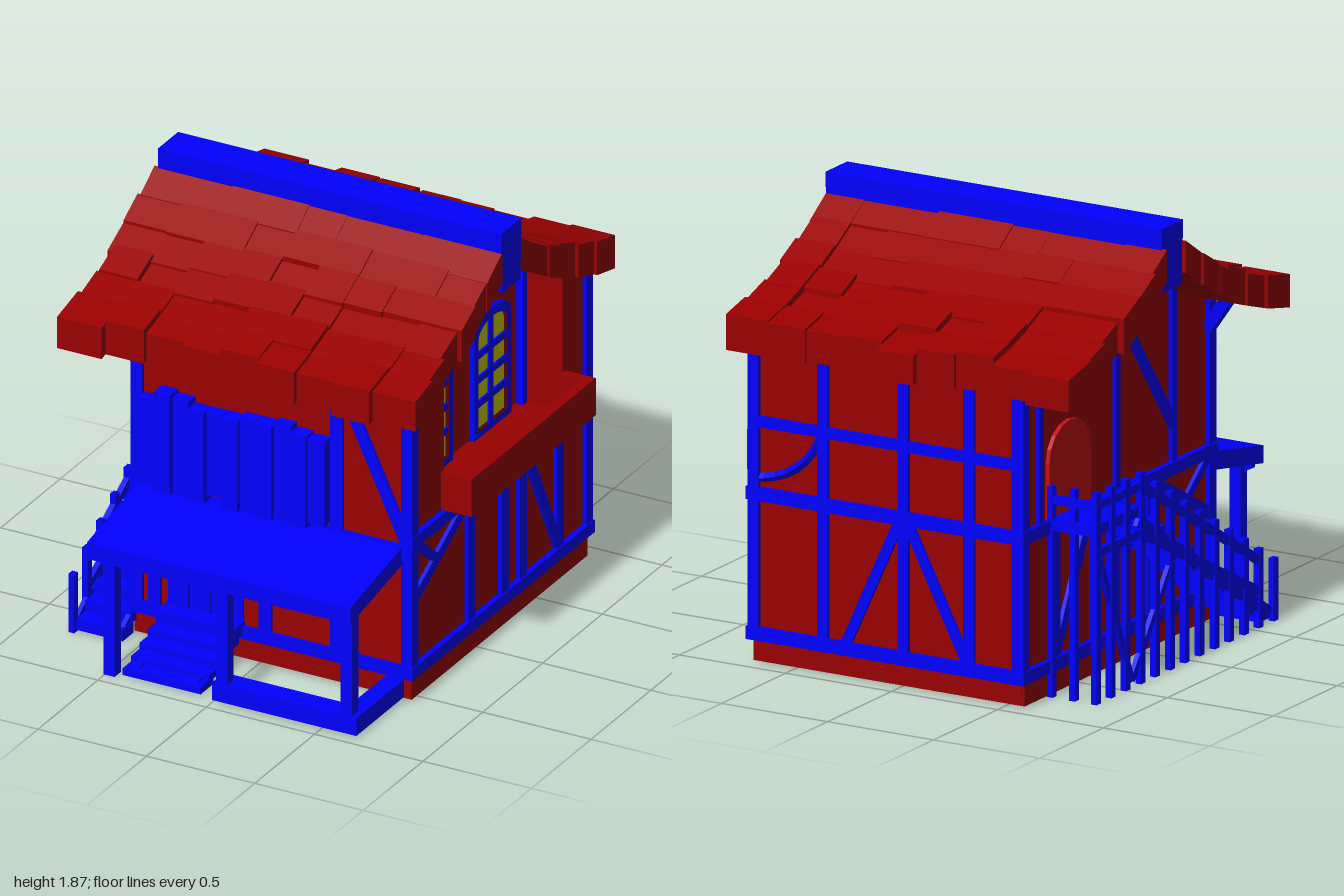
import * as THREE from 'three';

const RED = new THREE.MeshStandardMaterial({ color: 0x990000, flatShading: true });
const BLUE = new THREE.MeshStandardMaterial({ color: 0x0000ff, flatShading: true });
const YELLOW = new THREE.MeshStandardMaterial({ color: 0xcccc00, flatShading: true });
const DOOR_RED = new THREE.MeshStandardMaterial({ color: 0xc01010, flatShading: true });

export function createModel() {
  const house = new THREE.Group();
  house.name = 'house';
  let seed = 11;
  const rand = () => (seed = (seed * 16807) % 2147483647) / 2147483647;
  const jit = (a) => (rand() - 0.5) * 2 * a;

  const add = (name, geo, mat) => {
    const m = new THREE.Mesh(geo, mat);
    m.name = name;
    house.add(m);
    return m;
  };
  const box = (name, mat, x0, x1, y0, y1, z0, z1) =>
    add(name, new THREE.BoxGeometry(x1 - x0, y1 - y0, z1 - z0), mat)
      .position.set((x0 + x1) / 2, (y0 + y1) / 2, (z0 + z1) / 2);
  // Prism along x from a [z, y] outline, with an optional hole
  const prism = (name, mat, pts, x0, x1, hole) => {
    const v = (list) => list.map(([z, y]) => new THREE.Vector2(-z, y));
    const shape = new THREE.Shape(v(pts));
    if (hole) shape.holes.push(new THREE.Path(v(hole)));
    const geo = new THREE.ExtrudeGeometry(shape, { depth: x1 - x0, bevelEnabled: false });
    geo.rotateY(Math.PI / 2).translate(x0, 0, 0);
    add(name, geo, mat);
  };
  // Sloping timber on a side wall: [z, y] to [z, y]
  const sideStrut = (name, x, [z0, y0], [z1, y1], w = 0.045, d = 0.04) => {
    const m = add(name, new THREE.BoxGeometry(d, w, Math.hypot(z1 - z0, y1 - y0)), BLUE);
    m.position.set(x, (y0 + y1) / 2, (z0 + z1) / 2);
    m.rotation.x = -Math.atan2(y1 - y0, z1 - z0);
  };
  // Sloping timber on the front or back wall: [x, y] to [x, y]
  const frontStrut = (name, z, [x0, y0], [x1, y1], w = 0.045, d = 0.04) => {
    const m = add(name, new THREE.BoxGeometry(Math.hypot(x1 - x0, y1 - y0), w, d), BLUE);
    m.position.set((x0 + x1) / 2, (y0 + y1) / 2, z);
    m.rotation.z = Math.atan2(y1 - y0, x1 - x0);
  };
  const arch = (c, hw, y0, ys, yt) => {
    const pts = [[c + hw, y0]];
    for (let i = 0; i <= 8; i++) {
      const t = (i / 8) * Math.PI;
      pts.push([c + hw * Math.cos(t), ys + (yt - ys) * Math.sin(t)]);
    }
    return [...pts, [c - hw, y0]];
  };

  // Curved roof height at distance d from the ridge
  const RIDGE = -0.13;
  const roofY = (d) => 1.782 - 0.5625 * (d - 0.08) + 0.339 * (d - 0.08) * (d - 0.48);
  const eaveY = (z) => roofY(Math.abs(z - RIDGE)) - 0.1;

  // Foundation ring
  box('foundation', RED, -0.58, 0.7, 0.005, 0.1, 0.52, 0.55);
  box('foundation', RED, -0.58, 0.7, 0.005, 0.1, -0.92, -0.89);
  box('foundation', RED, -0.58, -0.55, 0.005, 0.1, -0.89, 0.52);
  box('foundation', RED, 0.67, 0.7, 0.005, 0.1, -0.89, 0.52);

  // Gabled walls, with a balcony recess on the left side
  const wall = (z0, z1, x0, x1) => {
    const pts = [[z0, 0.06], [z1, 0.06]];
    for (let i = 0; i <= 12; i++) {
      const z = z1 + (i / 12) * (z0 - z1);
      pts.push([z, eaveY(z)]);
    }
    prism('wall', RED, pts, x0, x1);
  };
  wall(-0.93, 0.55, -0.57, 0.49);
  wall(0.26, 0.55, 0.49, 0.69);
  wall(-0.93, -0.73, 0.49, 0.69);
  box('balconyFloor', RED, 0.49, 0.69, 0.06, 0.745, -0.73, 0.26);

  // Corner posts and horizontal beams
  for (const [x0, x1] of [[-0.59, -0.535], [0.66, 0.71]]) {
    box('cornerPost', BLUE, x0, x1, 0.1, 1.35, 0.51, 0.565);
    box('cornerPost', BLUE, x0, x1, 0.1, 1.35, -0.95, -0.895);
  }
  for (const [y0, y1] of [[0.1, 0.155], [0.69, 0.745]]) {
    box('sideBeam', BLUE, 0.66, 0.715, y0, y1, -0.955, 0.57);
    box('sideBeam', BLUE, -0.595, -0.54, y0, y1, -0.955, 0.57);
    box('backBeam', BLUE, -0.59, 0.71, y0, y1, -0.955, -0.9);
  }
  box('backBeam', BLUE, -0.59, 0.71, 1.0, 1.045, -0.95, -0.9);
  box('frontBeam', BLUE, -0.59, 0.71, 0.1, 0.155, 0.51, 0.57);
  box('frontBeam', BLUE, -0.59, 0.71, 0.645, 0.7, 0.51, 0.57);

  // Side wall timbers
  for (const x of [0.69, -0.57]) {
    for (const z of [0.06, -0.22, -0.37, -0.68])
      box('sidePost', BLUE, x - 0.018, x + 0.018, 0.15, 0.7, z - 0.029, z + 0.029);
    sideStrut('sideBrace', x, [0.53, 0.45], [0.08, 0.7], 0.05, 0.034);
    sideStrut('sideBrace', x, [0.52, 0.7], [0.35, 0.56], 0.04, 0.034);
    sideStrut('sideBrace', x, [-0.41, 0.7], [-0.67, 0.17], 0.05, 0.034);
  }
  for (const [x, z] of [[0.51, 0.24], [0.51, -0.71], [-0.57, 0.24], [-0.57, -0.2], [-0.57, -0.8]])
    box('gablePost', BLUE, x - 0.018, x + 0.018, 0.74, eaveY(z), z - 0.018, z + 0.018);
  sideStrut('gableBrace', -0.57, [-0.12, 1.4], [0.24, 0.9]);
  frontStrut('eaveBrace', 0.53, [-0.66, 1.36], [-0.57, 1.23], 0.05, 0.05);

  // Back wall timbers
  for (const x of [0.36, -0.02, -0.33])
    box('backPost', BLUE, x - 0.025, x + 0.025, 0.15, 1.35, -0.945, -0.91);
  frontStrut('backBrace', -0.925, [0.0, 0.7], [0.25, 0.15]);
  frontStrut('backBrace', -0.925, [-0.04, 0.7], [-0.32, 0.15]);
  const curve = new THREE.QuadraticBezierCurve3(new THREE.Vector3(0.69, 0.78, -0.925),
    new THREE.Vector3(0.45, 0.8, -0.925), new THREE.Vector3(0.37, 1.01, -0.925));
  add('curvedBrace', new THREE.TubeGeometry(curve, 8, 0.024, 4), BLUE);

  // Front wall timbers
  for (const [x, y0, y1] of [[0.36, 0.15, 1.35], [0.03, 0.15, 0.7], [-0.48, 0.15, 0.7]])
    box('frontPost', BLUE, x - 0.028, x + 0.028, y0, y1, 0.53, 0.565);
  frontStrut('frontBrace', 0.55, [0.4, 1.32], [0.68, 0.72], 0.05);

  // Arched balcony doors with glazing bars
  for (const c of [0.025, -0.465]) {
    const inner = arch(c, 0.122, 0.775, 1.19, 1.25);
    prism('balconyDoorFrame', BLUE, arch(c, 0.155, 0.745, 1.22, 1.29), 0.48, 0.515, inner);
    prism('balconyDoorGlass', YELLOW, inner, 0.48, 0.498);
    box('glazingBar', BLUE, 0.49, 0.508, 0.76, 1.25, c - 0.016, c + 0.016);
    for (const y of [0.89, 1.0, 1.11])
      box('glazingBar', BLUE, 0.49, 0.508, y - 0.015, y + 0.015, c - 0.13, c + 0.13);
  }

  // Balcony ledge and parapet
  box('balconyLedge', RED, 0.69, 0.83, 0.747, 0.775, -0.755, 0.285);
  box('parapet', RED, 0.785, 0.83, 0.747, 0.915, -0.755, 0.285);
  for (const z of [-0.755, 0.245]) box('parapetEnd', RED, 0.69, 0.83, 0.747, 0.915, z, z + 0.04);

  // Upright boards across the upper front
  const tops = [1.1, 1.15, 1.135, 1.11, 1.11, 1.11, 1.125, 1.125, 1.135, 1.115, 1.105];
  tops.forEach((t, i) => {
    const x = -0.53 + i * 0.0782;
    box('frontBoard', BLUE, x, x + 0.075, i === 4 ? 0.735 : i % 10 ? 0.7 : 0.72, t, 0.54, 0.605 + 0.02 * (i % 2));
  });

  // Front door of planks and its steps
  for (let i = 0; i < 7; i++) {
    const x = -0.42 + i * 0.05;
    box('doorPlank', BLUE, x, x + 0.047, 0.15, 0.6, 0.53, 0.557 + 0.008 * (i % 2));
  }
  [0.173, 0.12, 0.088, 0.06, 0.035].forEach((y, i) =>
    box('doorStep', BLUE, -0.43, -0.07, y - (i ? 0.03 : 0.053), y, 0.53 + i * 0.07, 0.64 + i * 0.07));
  for (const x of [-0.385, -0.115]) sideStrut('stepStringer', x, [0.55, 0.11], [0.9, 0.02], 0.03, 0.03);

  // Porch awning, posts, scalloped trim and kerb
  prism('awning', BLUE, [[0.54, 0.7], [1, 0.612], [1, 0.537], [0.54, 0.62]], -0.55, 0.665);
  for (const [x, y0] of [[-0.48, 0], [0.04, 0.05], [0.615, 0.05]])
    box('porchPost', BLUE, x - 0.026, x + 0.026, y0, 0.58, 0.89, 0.943);
  const trim = new THREE.Shape([new THREE.Vector2(0.66, 0.57), new THREE.Vector2(-0.545, 0.57)]);
  for (let i = 0; i <= 18; i++) trim.lineTo(-0.545 + (i / 18) * 1.205, i % 2 ? 0.5 : 0.535);
  add('scallopedTrim', new THREE.ExtrudeGeometry(trim, { depth: 0.02, bevelEnabled: false }), BLUE)
    .position.z = 0.922;
  box('porchKerb', BLUE, 0, 0.665, 0.01, 0.09, 0.85, 0.95);
  box('porchKerb', BLUE, 0.585, 0.665, 0.01, 0.09, 0.54, 0.87);

  // Roof tiles: thick blocks one or two columns wide, following the curve
  const rows = [0.075, 0.19, 0.31, 0.43, 0.56, 0.69];
  const lefts = [-0.82, -0.835, -0.835, -0.805, -0.82, -0.835];
  const rights = [0.785, 0.78, 0.79, 0.77, 0.785, 0.8];
  const eaveEnds = {
    1: [0.865, 0.83, 0.81, 0.83, 0.83, 0.85, 0.83, 0.86, 0.83],
    '-1': [0.87, 0.84, 0.825, 0.84, 0.87, 0.825, 0.825, 0.84, 0.84],
  };
  for (const s of [1, -1])
    for (let r = 0; r < 6; r++)
      for (let c = 0; c < 9;) {
        const end = Math.min(9, c + (r < 5 && rand() < 0.45 ? 2 : 1));
        const x0 = c ? -0.805 + c * 0.176 : lefts[r];
        const x1 = end < 9 ? -0.805 + end * 0.176 : rights[r];
        const up = r ? jit(0.018) : jit(0.006);
        const a = rows[r], b = r < 5 ? rows[r + 1] + 0.01 + jit(0.015) : eaveEnds[s][c];
        const pts = [[a, roofY(a) + up], [b, roofY(b) + up],
          [b, roofY(b) - 0.138], [a, roofY(a) - 0.138]];
        prism('roofTile', RED, pts.map(([d, y]) => [RIDGE + s * d, y]), x0, x1);
        c = end;
      }
  prism('ridgeBeam', BLUE, [[-0.045, 1.87], [-0.215, 1.87], [-0.205, 1.6], [-0.055, 1.6]], -0.8, 0.785);

  // Arched upper door on the stair side
  prism('upperDoor', DOOR_RED, arch(-0.575, 0.165, 0.745, 0.98, 1.13), -0.588, -0.56);

  // Outside staircase with landing
  box('landing', BLUE, -0.8, -0.58, 0.705, 0.75, -0.74, -0.38);
  for (let i = 0; i < 14; i++) {
    const y = 0.71 - i * 0.05, z = -0.4 + i * 0.075;
    box('stairStep', BLUE, -0.785, -0.57, y - 0.051, y, z, z + 0.09);
  }
  for (const x of [-0.795, -0.585]) sideStrut('stairStringer', x, [-0.4, 0.69], [0.63, 0.04], 0.05, 0.02);

  // Stair posts and handrails
  const railY = (z) => (z < -0.38 ? 0.86 : 0.86 - ((z + 0.38) / 1.05) * 0.63);
  for (let i = 0; i < 13; i++) {
    const z = -0.725 + i * 0.1158;
    box('stairPost', BLUE, -0.812, -0.785, 0, railY(z) + 0.03, z - 0.017, z + 0.017);
  }
  for (const dy of [0, -0.2]) {
    sideStrut('handrail', -0.798, [-0.74, 0.835 + dy], [-0.38, 0.835 + dy], 0.035, 0.025);
    sideStrut('handrail', -0.798, [-0.38, 0.835 + dy], [0.55, 0.28 + dy * 0.65], 0.035, 0.025);
  }
  sideStrut('stairBrace', -0.798, [-0.7, 0.6], [-0.45, 0.03], 0.03, 0.02);
  sideStrut('stairBrace', -0.798, [-0.45, 0.03], [-0.1, 0.5], 0.03, 0.02);
  box('landingRail', BLUE, -0.8, -0.58, 0.815, 0.85, -0.74, -0.715);
  for (const x of [-0.71, -0.605]) box('landingPost', BLUE, x, x + 0.027, 0, 0.89, -0.742, -0.712);

  return house;
}
